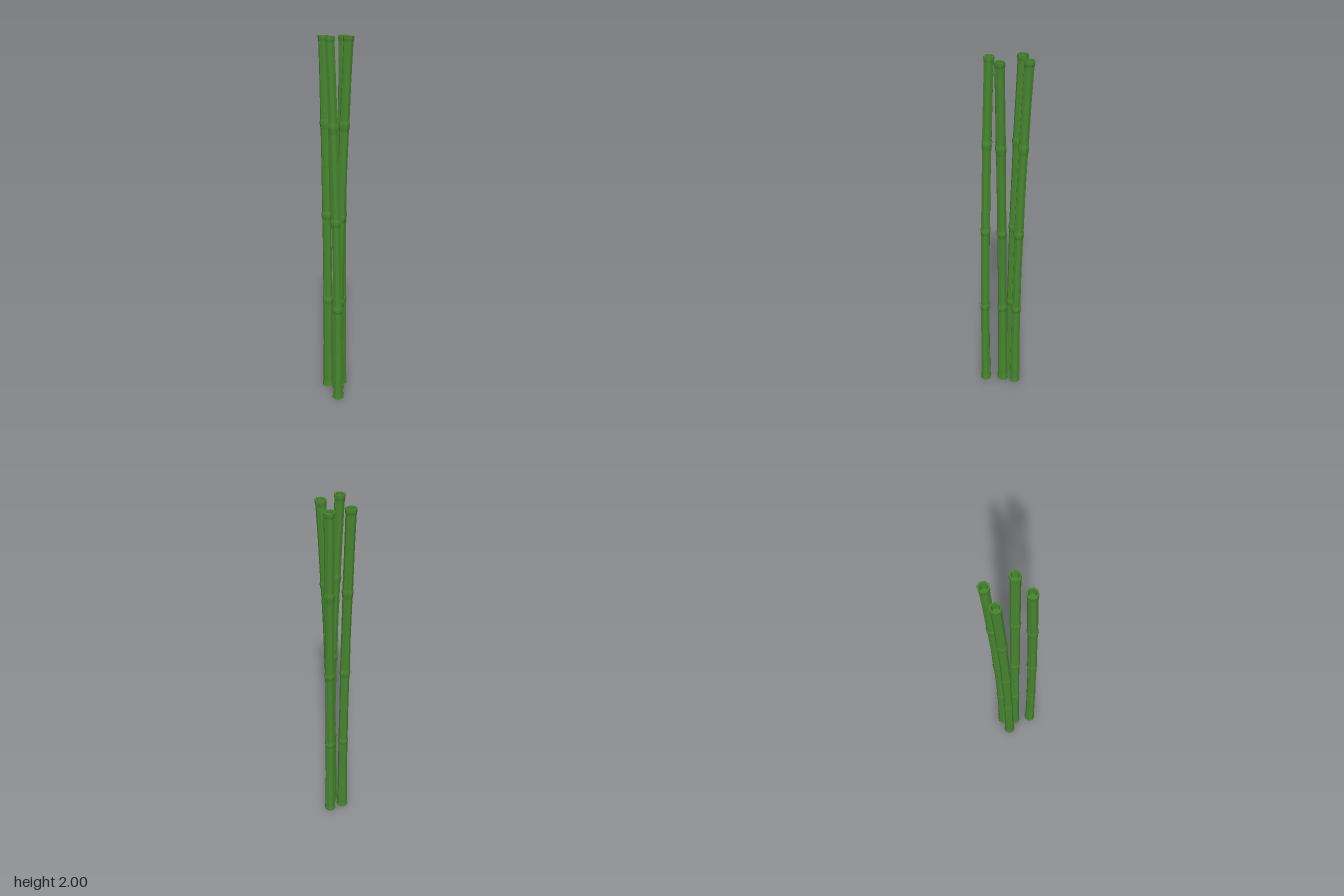
import * as THREE from 'three';

// Outline of one hollow-topped cane: [radius, height], from the foot cap up and into the bore
const profile = [[0, 0], [0.034, 0], [0.0305, 0.03], [0.027, 0.27], [0.0265, 0.515]];
for (const y of [0.53, 1.03, 1.54]) {
  // raised joint ring, then the next section of cane
  profile.push([0.03, y], [0.03, y + 0.012], [0.0265, y + 0.028]);
  if (y < 1.5) profile.push([0.025, y + 0.25], [0.0255, y + 0.48]);
}
profile.push([0.0255, 1.77], [0.026, 1.97], [0.029, 1.985], [0.029, 2]);
profile.push([0.021, 2], [0.019, 1.95], [0, 1.95]);

// base x, base z, top x, top z, turn about the cane's axis
const canes = [
  [-0.042, -0.055, -0.048, -0.112, 0.35],
  [0.039, -0.059, 0.062, -0.112, 0.15],
  [0.0, 0.007, 0.047, 0.033, 0.3],
  [-0.031, 0.105, -0.062, 0.057, 0.1],
];

// Eight-sided cane whose axis bows outwards with the square of the height
function makeCane([x0, z0, x1, z1, turn], material) {
  const points = profile.map(([r, y]) => new THREE.Vector2(r, y));
  const geometry = new THREE.LatheGeometry(points, 8, turn).toNonIndexed();
  const pos = geometry.attributes.position;
  for (let i = 0; i < pos.count; i++) {
    const t = (pos.getY(i) / 2) ** 2;
    pos.setX(i, pos.getX(i) + x0 + (x1 - x0) * t);
    pos.setZ(i, pos.getZ(i) + z0 + (z1 - z0) * t);
  }
  geometry.computeVertexNormals(); // flat facets
  return new THREE.Mesh(geometry, material);
}

export function createModel() {
  const model = new THREE.Group();
  model.name = 'bambooCanes';
  const green = new THREE.MeshStandardMaterial({ color: 0x47852f });
  green.name = 'bambooGreen';
  const names = ['backRightCane', 'backLeftCane', 'middleCane', 'frontRightCane'];
  canes.forEach((cane, i) => {
    const mesh = makeCane(cane, green);
    mesh.name = names[i];
    model.add(mesh);
  });
  return model;
}
